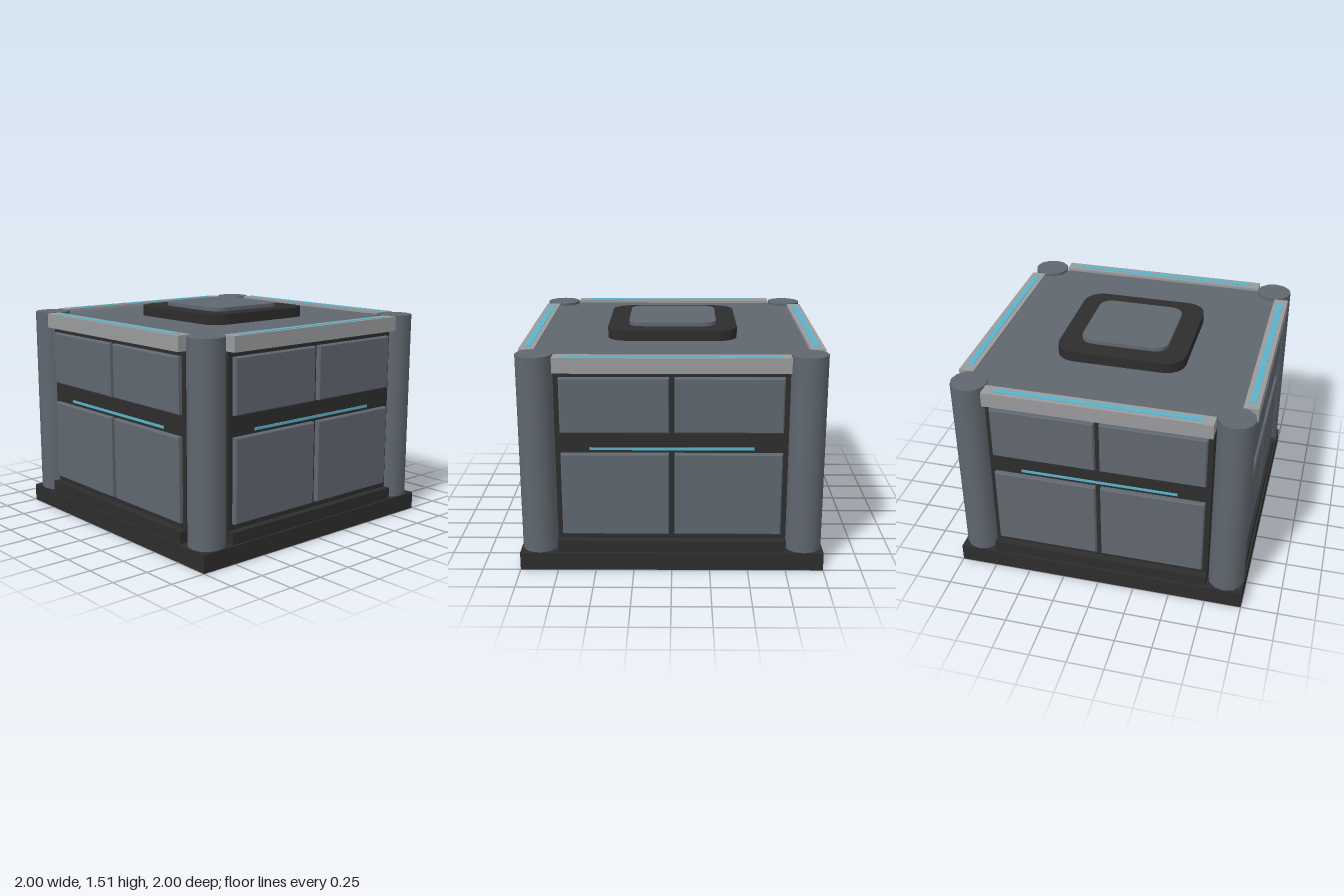
import * as THREE from 'three';

export function createModel() {
  const mat = (name, color) => {
    const m = new THREE.MeshStandardMaterial({ color });
    m.name = name;
    return m;
  };
  const dark = mat('charcoal', 0x2d2d2d);
  const slate = mat('slate', 0x60676f);
  const silver = mat('silver', 0x9a9b9d);
  const cyan = mat('cyan glow', 0x58b4cc);

  const model = new THREE.Group();
  model.name = 'storageModule';

  const add = (parent, name, geometry, material, x = 0, y = 0, z = 0) => {
    const mesh = new THREE.Mesh(geometry, material);
    mesh.name = name;
    mesh.position.set(x, y, z);
    parent.add(mesh);
    return mesh;
  };
  // Box given by its minimum and maximum on each axis
  const box = (parent, name, material, [x0, x1], [y0, y1], [z0, z1]) =>
    add(parent, name, new THREE.BoxGeometry(x1 - x0, y1 - y0, z1 - z0), material,
      (x0 + x1) / 2, (y0 + y1) / 2, (z0 + z1) / 2);

  // Square plate with rounded corners, lying flat
  const roundedPlate = (name, material, h, r, y0, y1, segments) => {
    const s = new THREE.Shape();
    const c = h - r;
    s.absarc(c, c, r, 0, Math.PI / 2);
    s.absarc(-c, c, r, Math.PI / 2, Math.PI);
    s.absarc(-c, -c, r, Math.PI, Math.PI * 1.5);
    s.absarc(c, -c, r, Math.PI * 1.5, Math.PI * 2);
    const g = new THREE.ExtrudeGeometry(s, { depth: y1 - y0, bevelEnabled: false, curveSegments: segments });
    g.rotateX(-Math.PI / 2);
    add(model, name, g, material, 0, y0, 0);
  };

  // Rectangular panel with a fine bevel round its front edge
  const panel = (parent, name, [x0, x1], [y0, y1], z0, z1) => {
    const b = 0.008;
    const w = (x1 - x0) / 2 - b, h = (y1 - y0) / 2 - b;
    const s = new THREE.Shape([
      new THREE.Vector2(-w, -h), new THREE.Vector2(w, -h),
      new THREE.Vector2(w, h), new THREE.Vector2(-w, h),
    ]);
    const g = new THREE.ExtrudeGeometry(s, {
      depth: z1 - z0 - b, bevelThickness: b, bevelSize: b, bevelSegments: 1,
    });
    add(parent, name, g, slate, (x0 + x1) / 2, (y0 + y1) / 2, z0);
  };

  // Base, inner body and roof
  box(model, 'base', dark, [-1, 1], [0, 0.12], [-1, 1]);
  box(model, 'body', dark, [-0.88, 0.88], [0.12, 1.36], [-0.88, 0.88]);
  box(model, 'roof', slate, [-0.89, 0.89], [1.36, 1.42], [-0.89, 0.89]);

  // Roof hatch
  roundedPlate('hatchRim', dark, 0.44, 0.135, 1.42, 1.49, 2);
  roundedPlate('hatchLid', slate, 0.3, 0.09, 1.49, 1.515, 3);

  // Corner columns
  for (const sx of [-1, 1]) {
    for (const sz of [-1, 1]) {
      add(model, 'cornerColumn', new THREE.CylinderGeometry(0.122, 0.122, 1.32, 12), slate,
        sx * 0.873, 0.78, sz * 0.873);
    }
  }

  // Four identical sides
  ['front', 'left', 'back', 'right'].forEach((name, i) => {
    const side = new THREE.Group();
    side.name = name + 'Side';
    side.rotation.y = i * Math.PI / 2;
    model.add(side);

    box(side, 'plinth', dark, [-0.75, 0.75], [0.12, 0.2], [0.87, 0.985]);
    box(side, 'frame', dark, [-0.75, 0.75], [0.2, 1.34], [0.87, 0.935]);
    box(side, 'trim', silver, [-0.75, 0.75], [1.34, 1.44], [0.89, 0.99]);
    box(side, 'trimLight', cyan, [-0.68, 0.68], [1.438, 1.443], [0.92, 0.96]);
    box(side, 'frontLight', cyan, [-0.53, 0.53], [0.818, 0.836], [0.932, 0.94]);

    for (const xs of [[-0.715, -0.017], [0.017, 0.715]]) {
      panel(side, 'upperPanel', xs, [0.94, 1.305], 0.93, 0.968);
      panel(side, 'lowerPanel', xs, [0.24, 0.8], 0.93, 0.968);
    }
  });

  return model;
}
